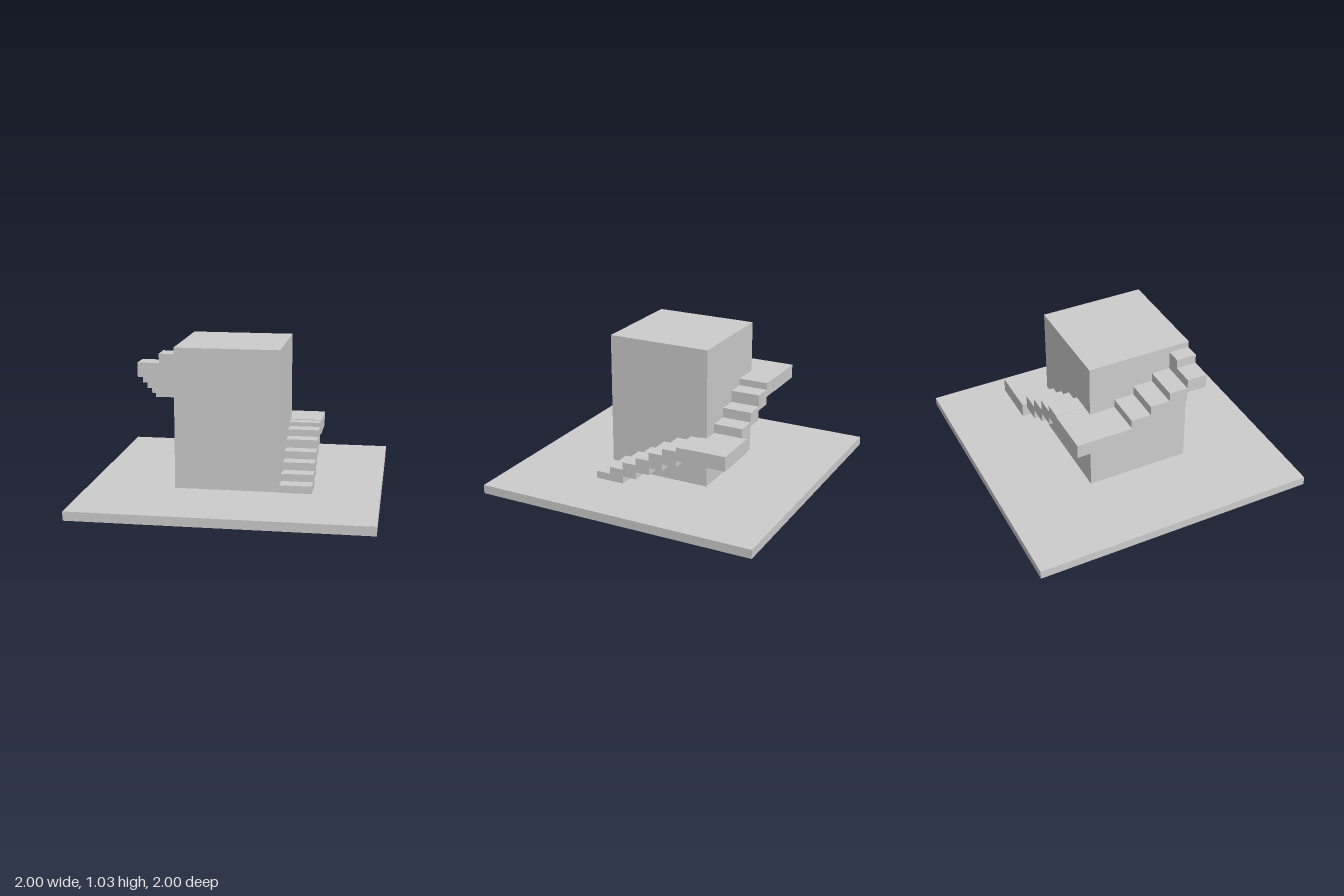
import * as THREE from 'three';

const material = new THREE.MeshStandardMaterial({ color: 0xcccccc, flatShading: true });

// Box given by its extents on each axis
function block(name, [x0, x1], [y0, y1], [z0, z1]) {
  const mesh = new THREE.Mesh(new THREE.BoxGeometry(x1 - x0, y1 - y0, z1 - z0), material);
  mesh.name = name;
  mesh.position.set((x0 + x1) / 2, (y0 + y1) / 2, (z0 + z1) / 2);
  return mesh;
}

// Row of steps; edges run along the axis, step i spans edges[i] to edges[i + 1]
function flight(name, axis, across, edges, bottoms, tops) {
  const group = new THREE.Group();
  group.name = name;
  tops.forEach((top, i) => {
    const along = [Math.min(edges[i], edges[i + 1]), Math.max(edges[i], edges[i + 1])];
    const y = [bottoms[i], top];
    group.add(axis === 'x'
      ? block('step', along, y, across)
      : block('step', across, y, along));
  });
  return group;
}

export function createModel() {
  const model = new THREE.Group();
  model.name = 'towerWithStairs';

  // Ground slab and central tower
  model.add(block('base', [-1, 1], [0, 0.062], [-1, 1]));
  model.add(block('tower', [-0.397, 0.322], [0.062, 1.035], [-0.358, 0.372]));

  // Lower flight climbs backwards along the left wall to a corner landing
  model.add(flight('lowerFlight', 'z', [0.322, 0.541],
    [0.377, 0.272, 0.169, 0.068, -0.034, -0.136, -0.24, -0.32],
    [0.062, 0.062, 0.115, 0.167, 0.219, 0.267, 0.313],
    [0.114, 0.165, 0.219, 0.272, 0.332, 0.38, 0.41]));
  model.add(block('lowerLandingSide', [0.322, 0.546], [0.313, 0.415], [-0.358, -0.315]));
  model.add(block('lowerLanding', [0.207, 0.546], [0.313, 0.415], [-0.6, -0.358]));

  // Middle flight crosses the back wall to the second landing
  model.add(flight('middleFlight', 'x', [-0.565, -0.358],
    [0.208, 0.07, -0.064, -0.194, -0.318],
    [0.38, 0.45, 0.52, 0.577],
    [0.48, 0.549, 0.63, 0.678]));
  model.add(block('upperLanding', [-0.652, -0.318], [0.577, 0.675], [-0.568, -0.358]));
  model.add(block('upperLandingSide', [-0.652, -0.397], [0.577, 0.675], [-0.358, -0.177]));

  // Upper flight climbs forwards along the right wall
  model.add(flight('upperFlight', 'z', [-0.645, -0.397],
    [-0.177, -0.038, 0.1, 0.23, 0.37],
    [0.635, 0.699, 0.762, 0.829],
    [0.735, 0.8, 0.862, 0.927]));

  // Final step turns in towards the tower roof
  model.add(block('topStep', [-0.498, -0.397], [0.829, 0.991], [0.23, 0.37]));

  return model;
}
